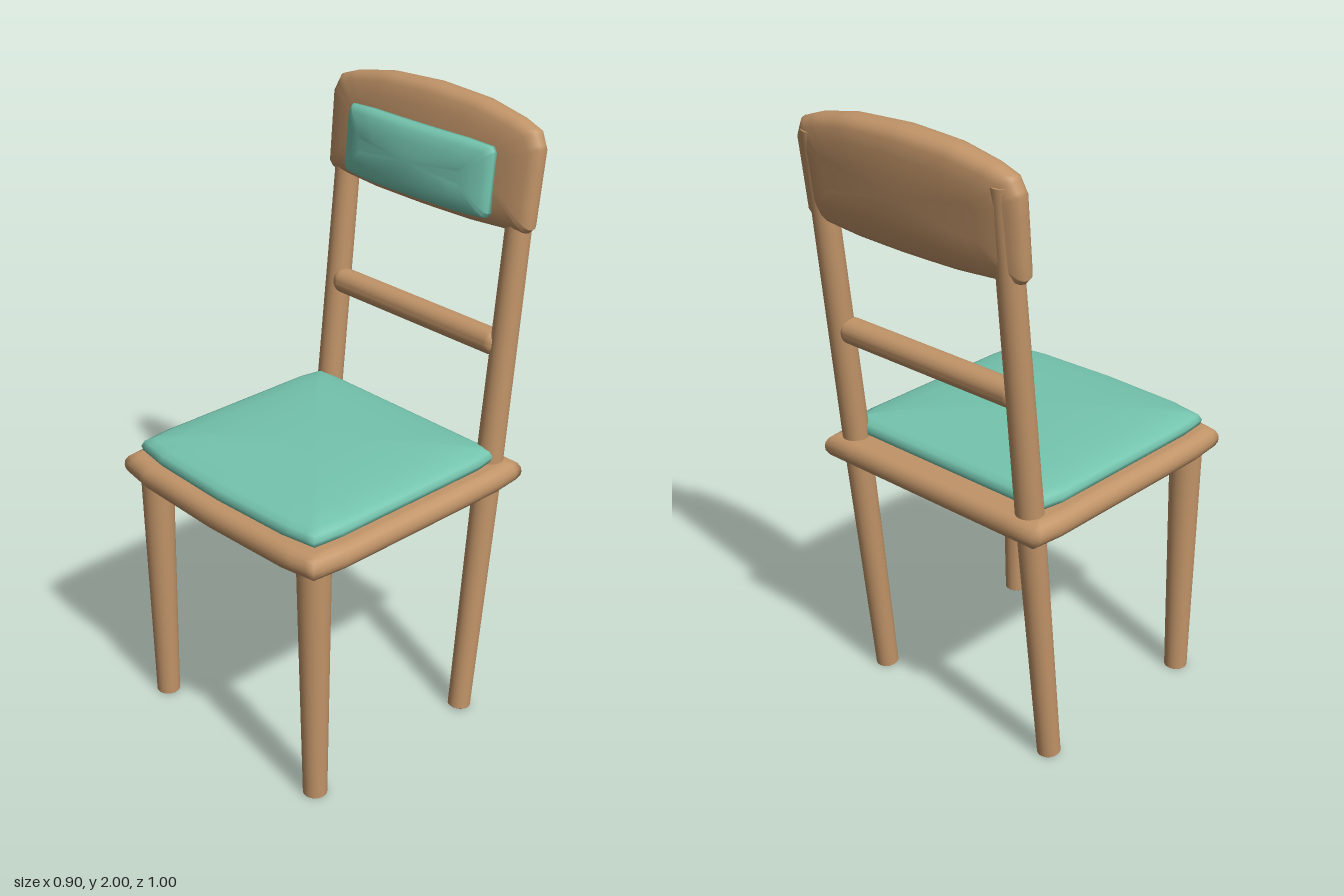
import * as THREE from 'three';
import { RoundedBoxGeometry } from 'three/addons/geometries/RoundedBoxGeometry.js';

const TILT = -0.105; // backward rake of the rear posts and backrest

// Mirrors a right-hand half outline (bottom to top) and subdivides its edges.
function outline(half) {
  const left = half.filter(p => p[0] > 0).reverse().map(([x, y]) => [-x, y]);
  const pts = [...half, ...left];
  const out = [];
  pts.forEach((p, i) => {
    const q = pts[(i + 1) % pts.length];
    for (let k = 0; k < 4; k++) {
      out.push([p[0] + (q[0] - p[0]) * k / 4, p[1] + (q[1] - p[1]) * k / 4]);
    }
  });
  return out;
}

// Soft slab: rings of the outline, each [inset, height], closed at both ends.
// The thickness shrinks by the fraction "taper" towards the left and right ends.
function slab(half, rings, taper = 0) {
  const pts = outline(half), n = pts.length;
  const ys = pts.map(p => p[1]);
  const hw = Math.max(...pts.map(p => p[0]));
  const cy = (Math.max(...ys) + Math.min(...ys)) / 2;
  const hh = Math.max(...ys) - cy;
  const pos = [], idx = [];
  for (const [inset, h] of rings) {
    for (const [px, py] of pts) {
      const x = px * (1 - inset / hw);
      const y = cy + (py - cy) * (1 - inset / hh);
      pos.push(x, y, h * (1 - taper * (x / hw) ** 2));
    }
  }
  const last = rings.length - 1, bottom = rings.length * n, top = bottom + 1;
  pos.push(0, cy, rings[0][1], 0, cy, rings[last][1]);
  for (let j = 0; j < n; j++) {
    const k = (j + 1) % n;
    for (let r = 0; r < last; r++) {
      const a = r * n + j, b = r * n + k;
      idx.push(a, b, b + n, a, b + n, a + n);
    }
    idx.push(bottom, k, j, top, last * n + j, last * n + k);
  }
  const g = new THREE.BufferGeometry();
  g.setAttribute('position', new THREE.Float32BufferAttribute(pos, 3));
  g.setIndex(idx);
  g.computeVertexNormals();
  return g;
}

// Round post from [radius, height] pairs, with crisp capped ends.
function post(profile) {
  const [r0, y0] = profile[0], [r1, y1] = profile[profile.length - 1];
  const pts = [[0, y0], [r0 - 0.002, y0], ...profile.map(([r, y], i) =>
    [r, i === 0 ? y + 0.002 : i === profile.length - 1 ? y - 0.002 : y]),
    [r1 - 0.002, y1], [0, y1]];
  return new THREE.LatheGeometry(pts.map(p => new THREE.Vector2(...p)), 24);
}

export function createModel() {
  const wood = new THREE.MeshStandardMaterial({ color: 0xc19468 });
  wood.name = 'wood';
  const fabric = new THREE.MeshStandardMaterial({ color: 0x74c4ae });
  fabric.name = 'fabric';
  const chair = new THREE.Group();
  chair.name = 'chair';
  const add = (name, geo, mat, x, y, z, rx = 0) => {
    const m = new THREE.Mesh(geo, mat);
    m.name = name;
    m.position.set(x, y, z);
    m.rotation.x = rx;
    chair.add(m);
  };

  // Seat frame with a bowed front and rounded rim
  const frame = slab(
    [[0, -0.5], [0.32, -0.49], [0.44, -0.47], [0.452, -0.35], [0.452, 0.3], [0.44, 0.41], [0, 0.41]],
    [[0.04, 0], [0.025, 0.002], [0.01, 0.012], [0.002, 0.026], [0, 0.04],
      [0.002, 0.055], [0.01, 0.07], [0.025, 0.08], [0.04, 0.082]]);
  add('seatFrame', frame, wood, 0, 0.816, 0, -Math.PI / 2);

  // Domed seat cushion
  const cushion = slab(
    [[0, -0.46], [0.28, -0.45], [0.4, -0.43], [0.41, -0.33], [0.41, 0.25], [0.395, 0.335], [0, 0.335]],
    [[0.02, 0], [0.004, 0.012], [0, 0.028], [0.008, 0.045], [0.03, 0.056],
      [0.09, 0.066], [0.18, 0.073], [0.3, 0.077]]);
  add('seatCushion', cushion, fabric, 0, 0.896, 0, -Math.PI / 2);

  // Front legs and raked rear posts
  const frontLeg = post([[0.038, 0], [0.052, 0.83]]);
  const rearPost = post([[0.037, 0], [0.043, 0.85], [0.039, 1.92]]);
  for (const side of [-1, 1]) {
    add('frontLeg', frontLeg, wood, side * 0.365, 0, 0.4);
    add('rearPost', rearPost, wood, side * 0.365, 0.004, -0.248, TILT);
  }

  // Rounded cross rail between the posts
  add('backRail', new RoundedBoxGeometry(0.72, 0.08, 0.08, 5, 0.036), wood, 0, 1.275, -0.374, TILT);

  // Crested backrest, thicker in the middle
  const edge = [[0, 0], [0.003, 0.022], [0.012, 0.04], [0.03, 0.052], [0.07, 0.061], [0.13, 0.066]];
  const backRings = [...edge.slice(1).reverse().map(([i, h]) => [i, -h]), ...edge];
  const backrest = slab(
    [[0, -0.18], [0.2, -0.178], [0.41, -0.165], [0.425, -0.15], [0.43, 0.09],
      [0.405, 0.14], [0.34, 0.163], [0.2, 0.19], [0, 0.2]],
    backRings, 0.33);
  add('backrest', backrest, wood, 0, 1.801, -0.43, TILT);

  // Padded panel on the front of the backrest
  const pad = slab(
    [[0, -0.112], [0.2, -0.112], [0.29, -0.107], [0.302, -0.09], [0.302, 0.09],
      [0.29, 0.107], [0.2, 0.112], [0, 0.112]],
    [[0, 0], [0, 0.04], [0.006, 0.056], [0.02, 0.068], [0.05, 0.077], [0.09, 0.081]], 0.4);
  add('backPad', pad, fabric, 0, 1.772, -0.385, TILT);

  return chair;
}
